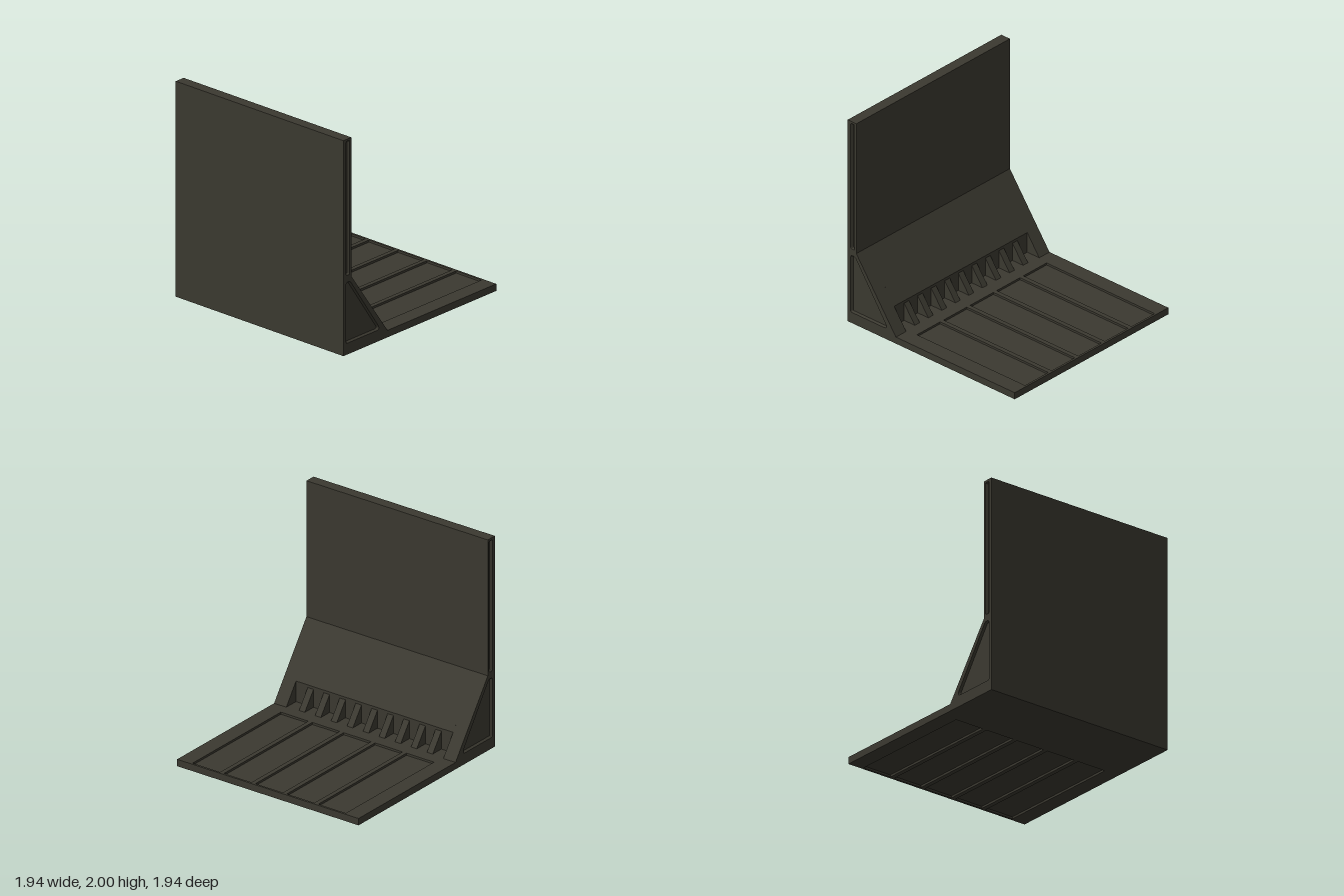
import * as THREE from 'three';

const END = 0.97, CAP = 0.02;            // half width, depth of the recesses
const FLOOR = 0.065, TOE = -0.41;        // floor height, foot of the slope

const v = (x, y) => new THREE.Vector2(x, y);

// Moves every edge of a convex counter-clockwise polygon inward by d
function inset(pts, d) {
  const n = pts.length;
  const line = i => {
    const a = pts[i % n], dir = pts[(i + 1) % n].clone().sub(a).normalize();
    return { p: v(a.x - dir.y * d, a.y + dir.x * d), dir };
  };
  return pts.map((_, i) => {
    const a = line(i + n - 1), b = line(i), w = b.p.clone().sub(a.p);
    const t = w.cross(b.dir) / a.dir.cross(b.dir);
    return a.p.clone().addScaledVector(a.dir, t);
  });
}

// Rounds each corner over its own distance
function rounded(pts, radii) {
  const n = pts.length, out = [];
  pts.forEach((p, i) => {
    const toward = q => p.clone().add(q.clone().sub(p).setLength(radii[i]));
    const curve = new THREE.QuadraticBezierCurve(toward(pts[(i + n - 1) % n]), p, toward(pts[(i + 1) % n]));
    out.push(...curve.getPoints(5));
  });
  return out;
}

// Sloping rim from the outer outline down to the recess floor
function rimGeometry(outer, inner, side) {
  const pos = [], n = outer.length;
  const o = i => [outer[i % n].x, outer[i % n].y, side * END];
  const k = i => [inner[i % n].x, inner[i % n].y, side * (END - CAP)];
  for (let i = 0; i < n; i++) {
    const [a, b] = side > 0 ? [i, i + 1] : [i + 1, i];
    pos.push(...o(a), ...o(b), ...k(b), ...o(a), ...k(b), ...k(a));
  }
  const g = new THREE.BufferGeometry();
  g.setAttribute('position', new THREE.Float32BufferAttribute(pos, 3));
  g.computeVertexNormals();
  return g;
}

export function createModel() {
  const model = new THREE.Group();
  model.name = 'bookend';
  const charcoal = new THREE.MeshStandardMaterial({ color: 0x3b3930 });
  charcoal.name = 'charcoal';

  const add = (name, geometry) => {
    const mesh = new THREE.Mesh(geometry, charcoal);
    mesh.name = name;
    model.add(mesh);
    return mesh;
  };
  // Extrudes a side profile between two z positions
  const slab = (name, points, z0, z1, holes = []) => {
    const shape = new THREE.Shape(points);
    holes.forEach(h => shape.holes.push(new THREE.Path(h)));
    const g = new THREE.ExtrudeGeometry(shape, { depth: z1 - z0, bevelEnabled: false });
    return add(name, g.translate(0, 0, z0));
  };

  // Upright wall with its sloped foot
  const wallTop = [v(-0.87, 0.71), v(-0.87, 2), v(-0.97, 2), v(-0.97, 0)];
  const solid = [...wallTop, v(TOE, 0), v(TOE, FLOOR)];
  const notched = [...wallTop, v(TOE, 0), v(TOE, FLOOR), v(-0.549, FLOOR), v(-0.549, 0.26)];
  const innerEnd = END - CAP, notchEnd = 0.84;
  slab('notchedWall', notched, -notchEnd, notchEnd);
  slab('wallEndFront', solid, notchEnd, innerEnd);
  slab('wallEndBack', solid, -innerEnd, -notchEnd);

  // End plates with a long groove and a triangular recess
  const recesses = [
    { name: 'wallGroove', pts: [v(-0.935, 0.735), v(-0.89, 0.735), v(-0.89, 1.98), v(-0.935, 1.98)], r: [0.012, 0.012, 0.012, 0.012] },
    { name: 'triangleRecess', pts: [v(-0.935, 0.105), v(-0.5, 0.105), v(-0.885, 0.67), v(-0.935, 0.67)], r: [0.015, 0.055, 0.02, 0.02] },
  ];
  recesses.forEach(c => {
    c.outer = rounded(c.pts, c.r);
    c.inner = rounded(inset(c.pts, 0.012), c.r.map(r => r * 0.6));
  });
  const outline = [...wallTop, v(0.97, 0), v(0.97, FLOOR), v(TOE, FLOOR)];
  for (const side of [1, -1]) {
    const tag = side > 0 ? 'Front' : 'Back';
    const z = [side * innerEnd, side * END].sort((a, b) => a - b);
    slab('endPlate' + tag, outline, z[0], z[1], recesses.map(c => c.outer));
    recesses.forEach(c => add(c.name + tag, rimGeometry(c.outer, c.inner, side)));
  }

  // Row of triangular ribs in the notch
  const rib = [v(-0.549, FLOOR), v(-0.425, FLOOR), v(-0.549, 0.235)];
  for (let i = -4; i <= 4; i++) slab('rib', rib, i * 0.171 - 0.031, i * 0.171 + 0.031);

  // Floor: thin core between two frames that leave five sunken panels
  const length = 0.97 - TOE, midX = (0.97 + TOE) / 2;
  add('floorCore', new THREE.BoxGeometry(length, FLOOR - 2 * CAP, 2 * innerEnd).translate(midX, FLOOR / 2, 0));
  const rect = (x0, x1, z0, z1) => [v(x0, z0), v(x1, z0), v(x1, z1), v(x0, z1)];
  const frame = new THREE.Shape(rect(TOE, 0.97, -innerEnd, innerEnd));
  for (let i = -2; i <= 2; i++) {
    const z = i * 0.336;
    frame.holes.push(new THREE.Path(rect(-0.305, 0.95, z - 0.147, z + 0.147)));
  }
  const frameGeometry = new THREE.ExtrudeGeometry(frame, { depth: CAP, bevelEnabled: false }).rotateX(-Math.PI / 2);
  add('floorFrameBottom', frameGeometry);
  add('floorFrameTop', frameGeometry).position.y = FLOOR - CAP;

  return model;
}
